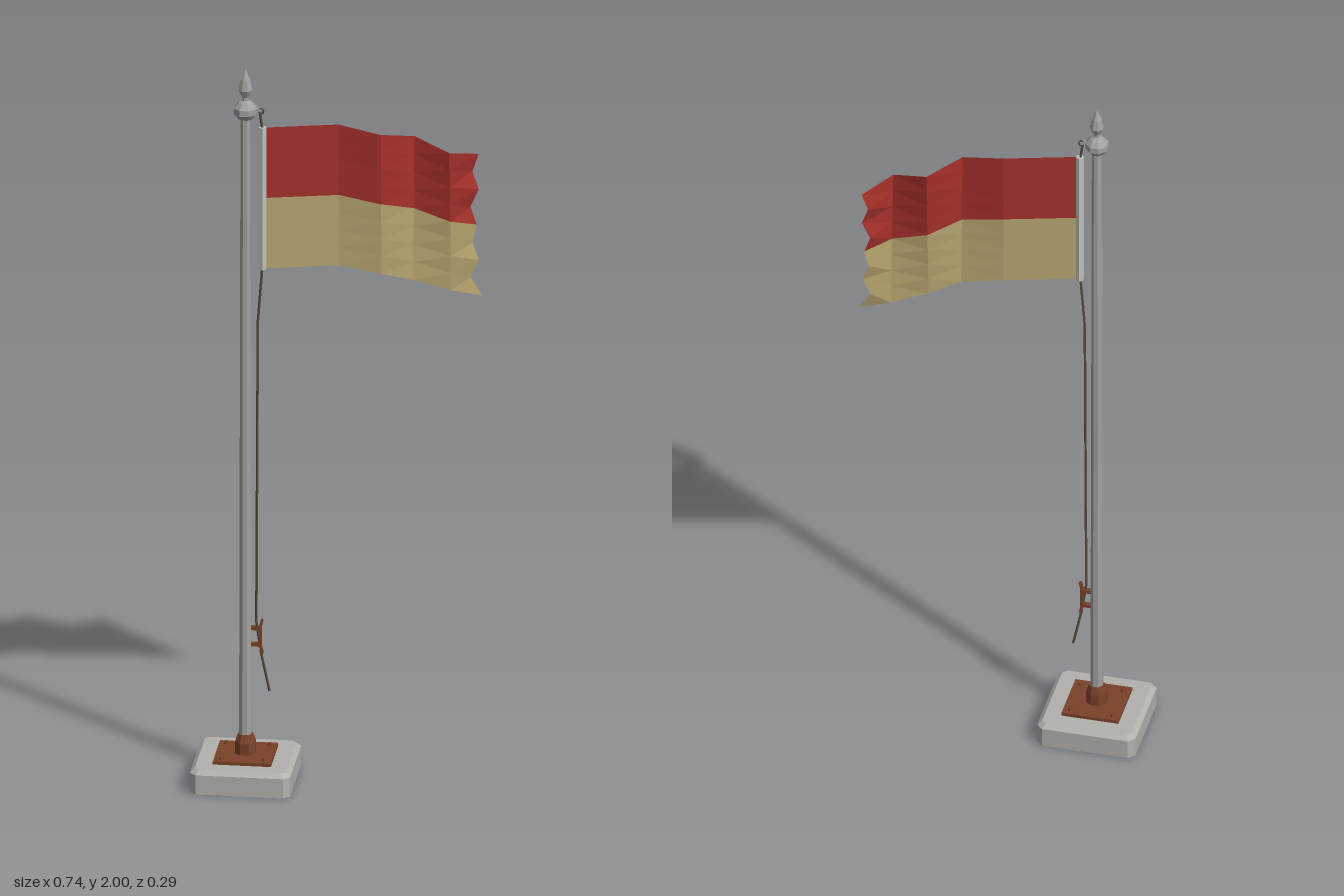
import * as THREE from 'three';

const mat = (name, color, opts = {}) => {
  const m = new THREE.MeshStandardMaterial({ color, flatShading: true, ...opts });
  m.name = name;
  return m;
};

// Faceted solid from stacked chamfered squares [y, half width, chamfer]
function chamferedBlock(levels) {
  const rings = levels.map(([y, h, c]) => {
    const k = h - c;
    return [[h, k], [k, h], [-k, h], [-h, k], [-h, -k], [-k, -h], [k, -h], [h, -k]]
      .map(([x, z]) => [x, y, z]);
  });
  const pos = [];
  for (let r = 0; r < rings.length - 1; r++) {
    for (let i = 0; i < 8; i++) {
      const j = (i + 1) % 8;
      const a = rings[r][i], b = rings[r][j], c = rings[r + 1][j], d = rings[r + 1][i];
      pos.push(...a, ...d, ...b, ...b, ...d, ...c);
    }
  }
  const low = rings[0], top = rings[rings.length - 1];
  for (let i = 1; i < 7; i++) {
    pos.push(...low[0], ...low[i], ...low[i + 1]);
    pos.push(...top[0], ...top[i + 1], ...top[i]);
  }
  const g = new THREE.BufferGeometry();
  g.setAttribute('position', new THREE.Float32BufferAttribute(pos, 3));
  g.computeVertexNormals();
  return g;
}

// Flag columns: x, top y, z at the top edge, z at the bottom edge
const COLUMNS = [
  [-0.185, 1.838, 0.010, 0.010],
  [0.0, 1.836, -0.040, -0.040],
  [0.113, 1.815, -0.032, -0.046],
  [0.193, 1.788, -0.104, -0.080],
  [0.290, 1.756, -0.073, -0.101],
  [0.358, 1.730, -0.145, -0.117],
];
// Frayed edge offsets in x for each of the nine rows
const FRAY = [0, -0.016, 0.001, -0.020, -0.004, -0.014, 0.003, -0.018, 0.013];

function flagPoint(col, row) {
  const [x, y, z0, z1] = COLUMNS[col];
  const t = row / 8;
  const end = col === COLUMNS.length - 1;
  const drop = end ? 0.388 : 0.397;
  return [x + (end ? FRAY[row] : 0), y - t * drop, z0 + (z1 - z0) * t];
}

function flagBand(firstRow, lastRow) {
  const pos = [];
  for (let c = 0; c < COLUMNS.length - 1; c++) {
    for (let r = firstRow; r < lastRow; r++) {
      const a = flagPoint(c, r), b = flagPoint(c, r + 1);
      const d = flagPoint(c + 1, r), e = flagPoint(c + 1, r + 1);
      pos.push(...a, ...b, ...d, ...b, ...e, ...d);
    }
  }
  const g = new THREE.BufferGeometry();
  g.setAttribute('position', new THREE.Float32BufferAttribute(pos, 3));
  g.computeVertexNormals();
  return g;
}

export function createModel() {
  const root = new THREE.Group();
  root.name = 'flagpole';
  const concrete = mat('concrete', 0xb2b1ac);
  const rust = mat('rusty steel', 0x7a4229);
  const steel = mat('pole steel', 0xa0a29f);
  const rope = mat('rope', 0x574c3e);
  const canvas = mat('sleeve canvas', 0xc4c4be);
  const red = mat('red cloth', 0xa5302a, { side: THREE.DoubleSide });
  const tan = mat('tan cloth', 0xb7a56f, { side: THREE.DoubleSide });

  const add = (parent, name, geo, material, x = 0, y = 0, z = 0) => {
    const m = new THREE.Mesh(geo, material);
    m.name = name;
    m.position.set(x, y, z);
    parent.add(m);
    return m;
  };
  const lathe = (pts) => new THREE.LatheGeometry(
    pts.map(([r, y]) => new THREE.Vector2(r, y)), 8, Math.PI / 8);

  // Everything standing on the pole axis
  const stand = new THREE.Group();
  stand.name = 'stand';
  stand.position.set(-0.24, 0, 0.012);
  root.add(stand);

  add(stand, 'base', chamferedBlock([[0, 0.133, 0.017], [0.054, 0.133, 0.017], [0.065, 0.121, 0.012]]), concrete);
  add(stand, 'mountingPlate', new THREE.BoxGeometry(0.154, 0.009, 0.154), rust, 0, 0.0695, 0);
  for (const sx of [-1, 1]) {
    for (const sz of [-1, 1]) {
      add(stand, 'bolt', new THREE.CylinderGeometry(0.006, 0.008, 0.007, 6), rust, sx * 0.057, 0.0775, sz * 0.057);
    }
  }
  add(stand, 'collar', lathe([[0.029, 0.072], [0.029, 0.106], [0.021, 0.128], [0, 0.128]]), rust);
  add(stand, 'pole', lathe([[0.0175, 0.07], [0.0135, 1.875]]), steel);

  // Cap and spear-shaped finial
  add(stand, 'cap', lathe([[0, 1.86], [0.019, 1.862], [0.031, 1.877], [0.031, 1.893], [0.019, 1.907], [0.009, 1.914]]), steel);
  add(stand, 'finial', lathe([[0.008, 1.908], [0.008, 1.922], [0.019, 1.943], [0.013, 1.97], [0, 2.0]]), steel);

  // Pulley beside the cap
  const arm = add(stand, 'pulleyArm', new THREE.BoxGeometry(0.026, 0.007, 0.012), steel, 0.032, 1.888, 0);
  arm.rotation.z = -0.15;
  const wheel = add(stand, 'pulley', new THREE.CylinderGeometry(0.008, 0.008, 0.008, 8), rope, 0.042, 1.884, 0);
  wheel.rotation.x = Math.PI / 2;

  // Cleat with two horns
  const cleat = new THREE.Group();
  cleat.name = 'cleat';
  cleat.position.set(0.036, 0.403, 0);
  stand.add(cleat);
  add(cleat, 'cleatBody', new THREE.BoxGeometry(0.007, 0.06, 0.013), rust, 0.004, 0, 0);
  for (const s of [-1, 1]) {
    add(cleat, 'cleatFoot', new THREE.BoxGeometry(0.022, 0.01, 0.012), rust, -0.01, s * 0.023, 0);
    const horn = add(cleat, 'cleatHorn', new THREE.BoxGeometry(0.007, 0.024, 0.01), rust, 0.006, s * 0.036, 0);
    horn.rotation.z = -s * 0.25;
  }

  // Halyard, straight from point to point
  const line = (name, pts) => {
    const path = new THREE.CurvePath();
    for (let i = 0; i < pts.length - 1; i++) {
      path.add(new THREE.LineCurve3(
        new THREE.Vector3(pts[i][0], pts[i][1], 0.012),
        new THREE.Vector3(pts[i + 1][0], pts[i + 1][1], 0.012)));
    }
    add(root, name, new THREE.TubeGeometry(path, 24, 0.0035, 5), rope);
  };
  line('upperRope', [[-0.203, 1.893], [-0.195, 1.835]]);
  line('middleRope', [[-0.195, 1.445], [-0.207, 1.29]]);
  line('lowerRope', [[-0.207, 1.29], [-0.211, 0.44], [-0.2, 0.37]]);
  line('ropeTail', [[-0.2, 0.365], [-0.176, 0.25]]);

  // Flag with its hoist sleeve
  add(root, 'sleeve', new THREE.CylinderGeometry(0.0105, 0.0105, 0.4, 6), canvas, -0.194, 1.639, 0.012);
  add(root, 'flagRedBand', flagBand(0, 4), red);
  add(root, 'flagTanBand', flagBand(4, 8), tan);
  return root;
}
